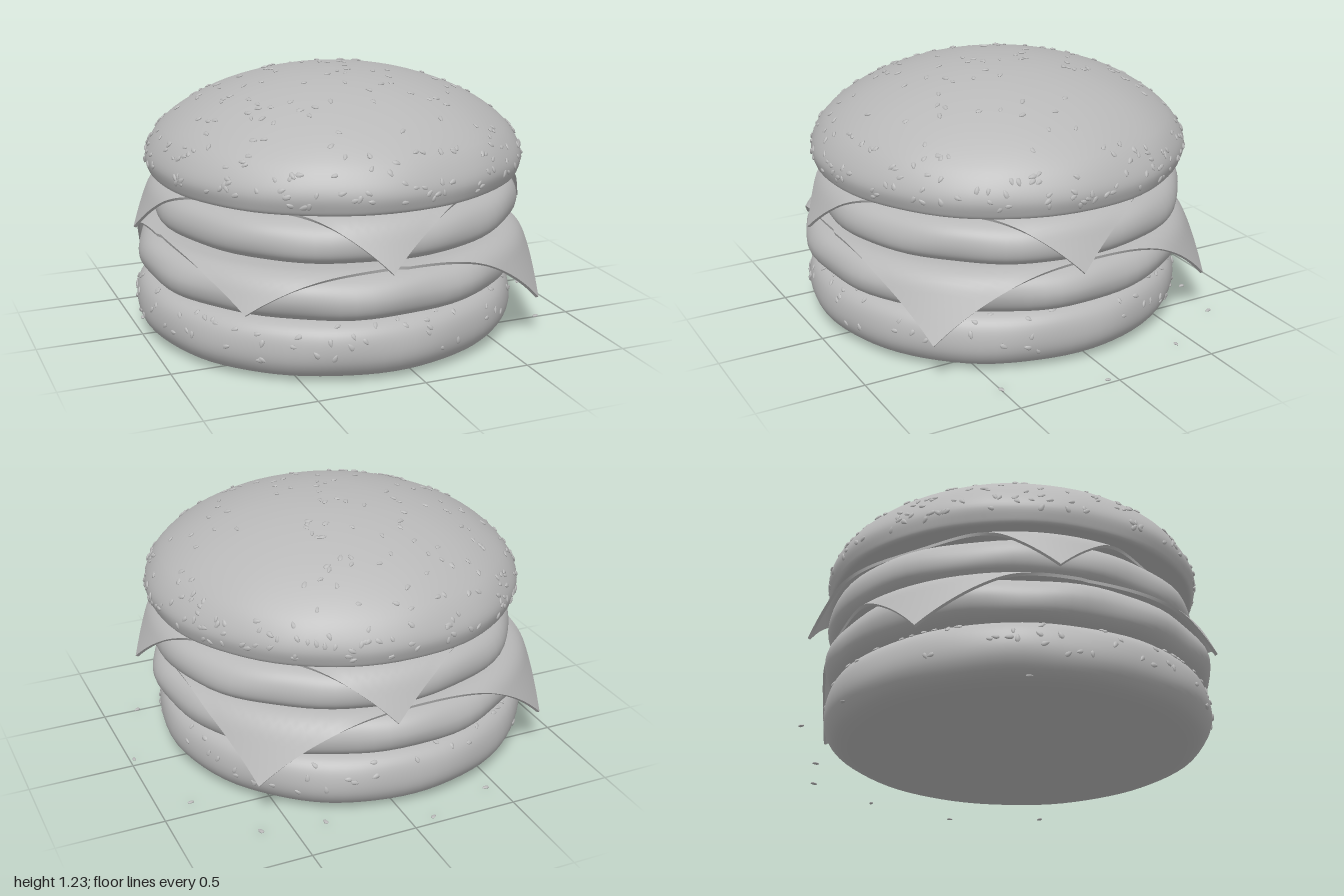
import * as THREE from 'three';
import { mergeGeometries, mergeVertices } from 'three/addons/utils/BufferGeometryUtils.js';

const plainGrey = new THREE.MeshStandardMaterial({ color: 0xb8b8b8 });
plainGrey.name = 'plain grey';

// Seeded random numbers
let seed = 7;
const random = () => {
  seed = (seed * 16807) % 2147483647;
  return seed / 2147483647;
};

// A round layer: smooth profile [radius, height], centre and lumpiness
function layer(points, cx, cz, lump) {
  const curve = new THREE.CatmullRomCurve3(
    points.map(([r, y]) => new THREE.Vector3(r, y, 0)), false, 'centripetal');
  const wobble = (a, y) => 1 + lump * (0.5 * Math.sin(3 * a + 5 * y)
    + 0.35 * Math.sin(7 * a + 9 * y + 1) + 0.3 * Math.sin(12 * a - 14 * y + 2));
  const place = (r, y, a) => {
    const k = r * wobble(a, y);
    return new THREE.Vector3(cx + k * Math.sin(a), y, cz + k * Math.cos(a));
  };
  const at = (u, a) => {
    const p = curve.getPoint(u);
    return place(Math.max(p.x, 0), p.y, a);
  };
  return { curve, place, at };
}

function layerMesh(name, { curve, place }) {
  const profile = curve.getPoints(44).map(p => new THREE.Vector2(Math.max(p.x, 0), p.y));
  let geo = new THREE.LatheGeometry(profile, 80);
  const pos = geo.attributes.position;
  for (let i = 0; i < pos.count; i++) {
    const x = pos.getX(i), z = pos.getZ(i);
    const p = place(Math.hypot(x, z), pos.getY(i), Math.atan2(x, z));
    pos.setXYZ(i, p.x, p.y, p.z);
  }
  geo.deleteAttribute('uv');
  geo.deleteAttribute('normal');
  geo = mergeVertices(geo, 1e-4);
  geo.computeVertexNormals();
  const mesh = new THREE.Mesh(geo, plainGrey);
  mesh.name = name;
  return mesh;
}

// A square slice whose corners bend down past a given radius
function cheeseSlice(name, { cx, cz, top, half, radius, turn, shortCorner }) {
  const bend = 0.12, maxAngle = 1.13, thick = 0.014;
  const geo = new THREE.BoxGeometry(half * 2, thick, half * 2, 48, 1, 48);
  geo.rotateY(turn);
  const pos = geo.attributes.position;
  for (let i = 0; i < pos.count; i++) {
    const x = pos.getX(i), z = pos.getZ(i), off = pos.getY(i);
    const r = Math.hypot(x, z);
    let s = Math.max(0, r - radius);
    if (x < 0 && z > 0) s *= shortCorner;
    const a = Math.min(s / bend, maxAngle);
    const rest = Math.max(0, s - bend * maxAngle);
    const out = Math.min(r, radius) + bend * Math.sin(a) + rest * Math.cos(a) + off * Math.sin(a);
    const drop = bend * (1 - Math.cos(a)) + rest * Math.sin(a) - off * Math.cos(a);
    const k = r > 1e-6 ? out / r : 1;
    pos.setXYZ(i, cx + x * k, top - drop, cz + z * k);
  }
  geo.computeVertexNormals();
  const mesh = new THREE.Mesh(geo, plainGrey);
  mesh.name = name;
  return mesh;
}

// One flat, teardrop-shaped seed lying on a surface
const seedShape = new THREE.SphereGeometry(1, 7, 5);
seedShape.rotateX(Math.PI / 2);
{
  const p = seedShape.attributes.position;
  for (let i = 0; i < p.count; i++) p.setX(i, p.getX(i) * (1 - 0.4 * p.getZ(i)));
  seedShape.scale(0.01, 0.006, 0.017);
  seedShape.computeVertexNormals();
}
function seedAt(point, normal) {
  const q = new THREE.Quaternion().setFromUnitVectors(new THREE.Vector3(0, 1, 0), normal);
  q.multiply(new THREE.Quaternion().setFromAxisAngle(new THREE.Vector3(0, 1, 0), random() * 6.283));
  const size = 0.85 + 0.3 * random();
  return seedShape.clone().applyMatrix4(
    new THREE.Matrix4().compose(point, q, new THREE.Vector3(size, size, size)));
}

function seedMesh(name, geos) {
  const mesh = new THREE.Mesh(mergeGeometries(geos), plainGrey);
  mesh.name = name;
  return mesh;
}

// Seeds scattered evenly over a height band of a layer
function scatter(name, { curve, at }, count, low, high) {
  const geos = [];
  while (geos.length < count) {
    const u = 0.3 + 0.69 * random(), a = random() * Math.PI * 2;
    const c = curve.getPoint(u);
    if (c.y < low || c.y > high || random() > c.x / 0.9) continue;
    const p = at(u, a);
    const du = at(u + 0.005, a).sub(p), da = at(u, a + 0.01).sub(p);
    const n = da.cross(du).normalize();
    geos.push(seedAt(p.addScaledVector(n, 0.002), n));
  }
  return seedMesh(name, geos);
}

export function createModel() {
  const group = new THREE.Group();

  // Buns
  const bottomBun = layer([[0, 0.003], [0.4, 0.003], [0.74, 0.003], [0.79, 0.008], [0.85, 0.035],
    [0.89, 0.09], [0.9, 0.15], [0.885, 0.22], [0.85, 0.26], [0.78, 0.28], [0.4, 0.285], [0, 0.285]],
    -0.1, 0.05, 0.007);
  const topBun = layer([[0, 0.75], [0.4, 0.75], [0.83, 0.748], [0.865, 0.752], [0.88, 0.78],
    [0.89, 0.83], [0.87, 0.89], [0.81, 0.97], [0.66, 1.075], [0.45, 1.16], [0.22, 1.21], [0, 1.225]],
    -0.05, 0.04, 0.006);
  group.add(layerMesh('bottomBun', bottomBun), layerMesh('topBun', topBun));

  // Patties
  group.add(layerMesh('lowerPatty', layer([[0, 0.275], [0.4, 0.275], [0.78, 0.275], [0.85, 0.29],
    [0.89, 0.325], [0.905, 0.38], [0.89, 0.43], [0.855, 0.465], [0.78, 0.488], [0.4, 0.492], [0, 0.492]],
    -0.085, 0.05, 0.018)));
  group.add(layerMesh('upperPatty', layer([[0, 0.512], [0.4, 0.512], [0.75, 0.512], [0.82, 0.525],
    [0.86, 0.56], [0.87, 0.61], [0.855, 0.66], [0.82, 0.695], [0.75, 0.718], [0.4, 0.722], [0, 0.722]],
    -0.04, 0.03, 0.014)));

  // Cheese slices, one turned an eighth of a circle from the other
  group.add(cheeseSlice('lowerCheese', { cx: -0.075, cz: 0.05, top: 0.502, half: 0.85,
    radius: 0.82, turn: 0.04, shortCorner: 0.65 }));
  group.add(cheeseSlice('upperCheese', { cx: -0.045, cz: 0.03, top: 0.735, half: 0.768,
    radius: 0.775, turn: Math.PI / 4 - 0.11, shortCorner: 1 }));

  // Sesame seeds on the buns and fallen around them
  group.add(scatter('topBunSeeds', topBun, 330, 0.79, 1.23));
  group.add(scatter('bottomBunSeeds', bottomBun, 100, 0.1, 0.27));
  const up = new THREE.Vector3(0, 1, 0);
  const fallen = [[-0.11, -0.96], [-0.44, -0.85], [0.64, -0.75], [0.85, -0.41], [0.98, 0.05],
    [0.83, 0.5], [-0.95, -0.2], [0.35, -0.8]];
  group.add(seedMesh('fallenSeeds',
    fallen.map(([x, z]) => seedAt(new THREE.Vector3(x, 0.006, z), up))));
  return group;
}
